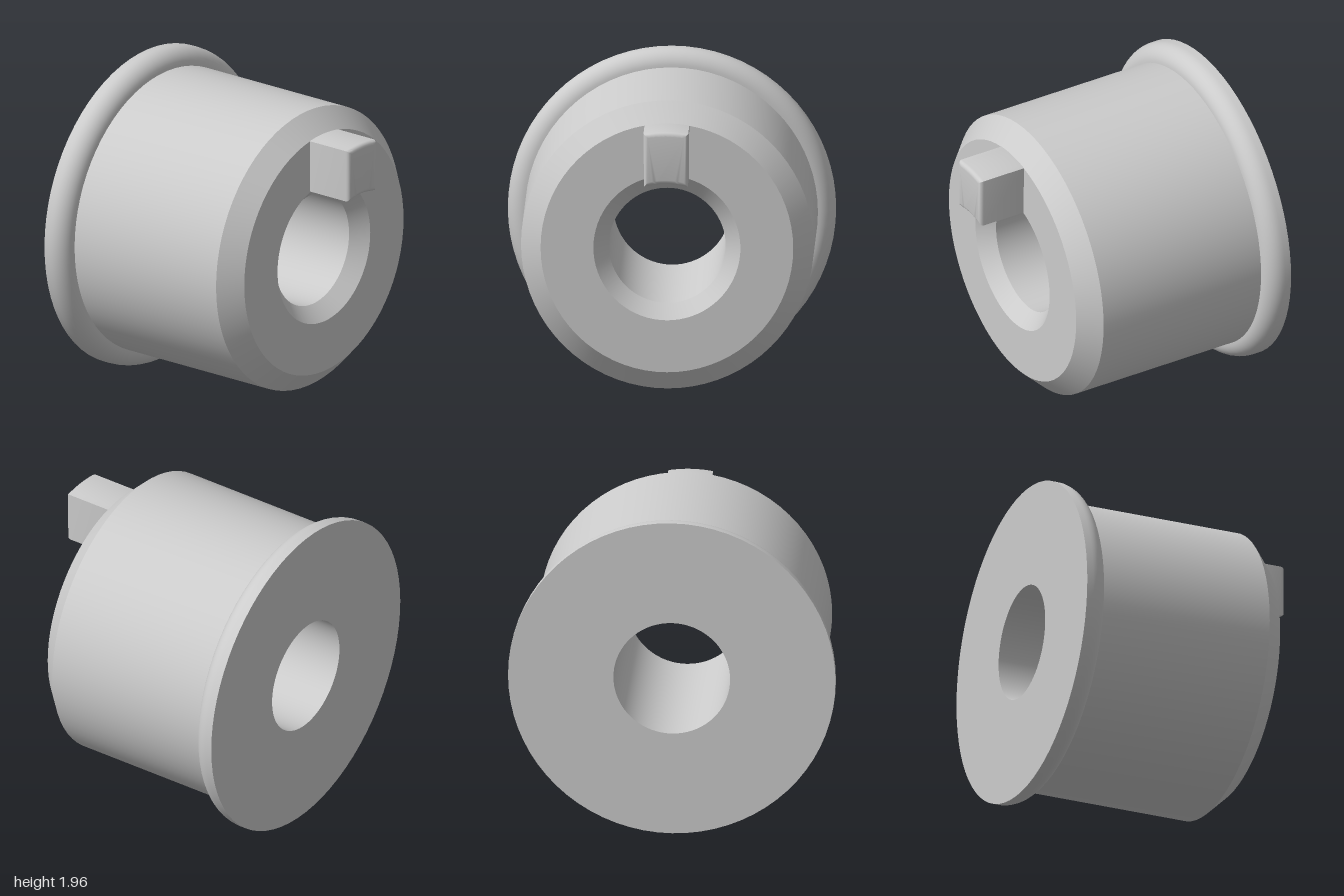
import * as THREE from 'three';
import { toCreasedNormals } from 'three/addons/utils/BufferGeometryUtils.js';

const material = new THREE.MeshStandardMaterial({ color: 0xcccccc });

// Flanged, bored bushing: one closed profile turned about its axis
function bushing() {
  const bore = 0.35, body = 0.876, rim = 0.982, front = 1.356;
  const fillet = rim - body, land = 0.04;
  const profile = [[bore, 0], [rim, 0]];
  for (let i = 0; i <= 10; i++) {
    const a = (i / 10) * Math.PI / 2;
    profile.push([body + fillet * Math.cos(a), land + fillet * Math.sin(a)]);
  }
  profile.push(
    [body, front - 0.12], [0.756, front], // outer chamfer
    [0.44, front], [bore, front - 0.09],  // bore chamfer
    [bore, 0]
  );
  const geometry = new THREE.LatheGeometry(profile.map(([r, y]) => new THREE.Vector2(r, y)), 72);
  geometry.rotateX(Math.PI / 2);
  const mesh = new THREE.Mesh(toCreasedNormals(geometry, 0.5), material);
  mesh.name = 'flangedBushing';
  return mesh;
}

// Drive key on the front face: parallel sides, arcs at bottom and top
function driveKey() {
  const bevel = 0.025, half = 0.134 - bevel;
  const inner = 0.44 + bevel, outer = 0.757 - bevel;
  const a = Math.asin(half / inner), b = Math.asin(half / outer);
  const up = Math.PI / 2;
  const shape = new THREE.Shape();
  shape.absarc(0, 0, outer, up - b, up + b, false);
  shape.absarc(0, 0, inner, up + a, up - a, true);
  shape.closePath();
  const geometry = new THREE.ExtrudeGeometry(shape, {
    depth: 1.657 - bevel - 1.356, curveSegments: 8,
    bevelEnabled: true, bevelSize: bevel, bevelThickness: bevel, bevelSegments: 4
  });
  geometry.translate(0, 0, 1.356);
  const mesh = new THREE.Mesh(toCreasedNormals(geometry, 0.6), material);
  mesh.name = 'driveKey';
  return mesh;
}

export function createModel() {
  const model = new THREE.Group();
  model.name = 'keyedBushing';
  const assembly = new THREE.Group();
  assembly.name = 'turnedAssembly';
  assembly.add(bushing(), driveKey());
  // Axis turned slightly off the front direction
  assembly.rotation.y = THREE.MathUtils.degToRad(7);
  assembly.position.set(-0.025, 0.983, -0.77);
  model.add(assembly);
  return model;
}
